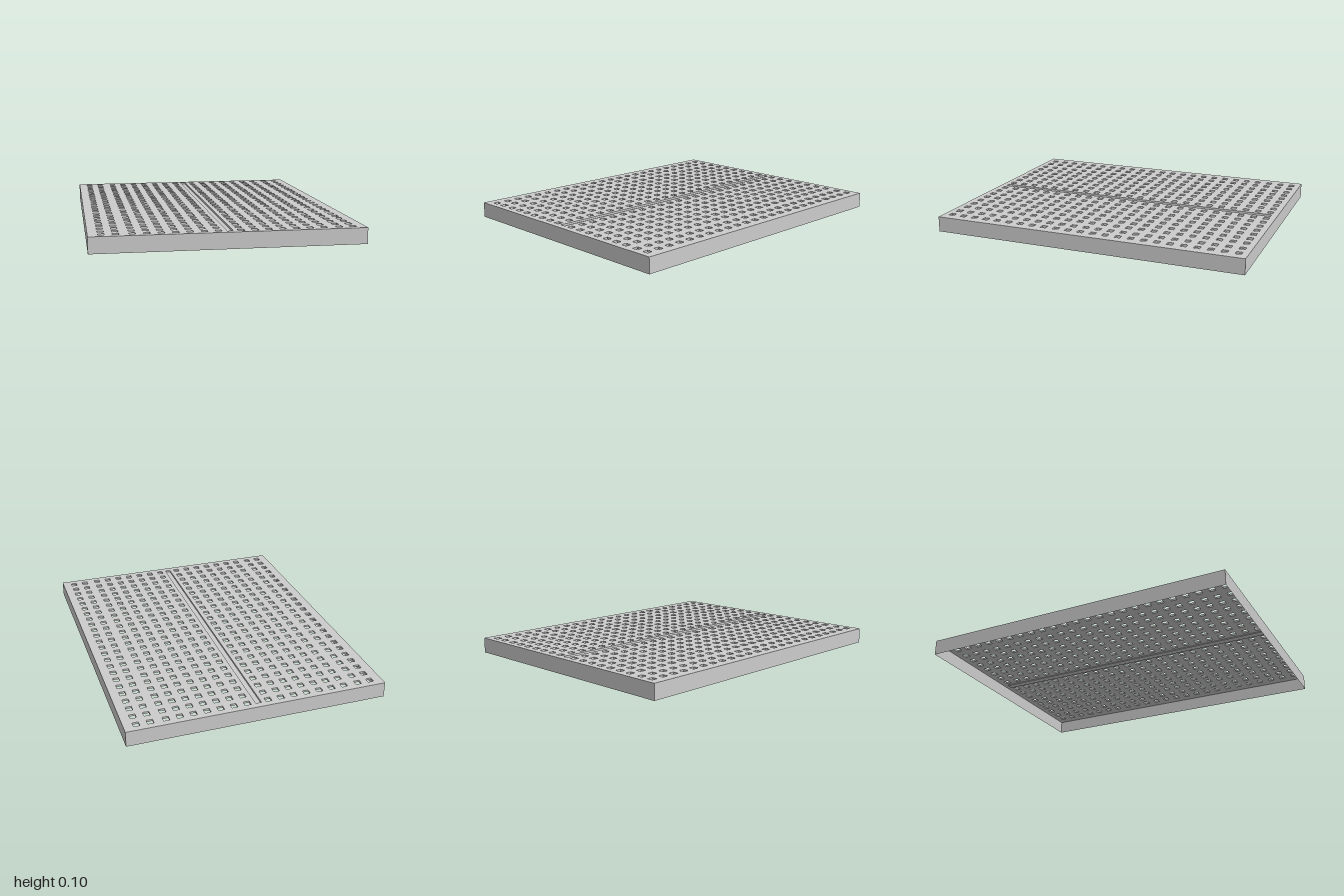
import * as THREE from 'three';

const W = 1.614, D = 2, H = 0.098; // overall size
const T = 0.012;                   // top plate thickness
const PITCH = 0.082, HOLE = 0.037; // socket grid
const ROWS = 24;
const GROOVE_W = 0.036, GROOVE_L = 1.92;

const material = new THREE.MeshStandardMaterial({ color: 0xcccccc, side: THREE.DoubleSide });

function rect(target, cx, cy, w, h) {
  target.moveTo(cx - w / 2, cy - h / 2);
  target.lineTo(cx + w / 2, cy - h / 2);
  target.lineTo(cx + w / 2, cy + h / 2);
  target.lineTo(cx - w / 2, cy + h / 2);
  target.closePath();
  return target;
}

function add(group, name, geometry, x = 0, y = 0, z = 0) {
  const mesh = new THREE.Mesh(geometry, material);
  mesh.name = name;
  mesh.position.set(x, y, z);
  group.add(mesh);
  return mesh;
}

export function createModel() {
  const group = new THREE.Group();
  group.name = 'perforatedBoard';

  // Column offsets on one half: seven terminal columns, then two rail columns
  const columns = [];
  for (let i = 0; i < 7; i++) columns.push(0.065 + i * PITCH);
  columns.push(0.65, 0.732);

  // Top plate with square sockets and the slot for the centre groove
  const plate = rect(new THREE.Shape(), 0, 0, W, D);
  plate.holes.push(rect(new THREE.Path(), 0, 0, GROOVE_W, GROOVE_L));
  for (const side of [-1, 1]) {
    for (const x of columns) {
      for (let r = 0; r < ROWS; r++) {
        const z = (r - (ROWS - 1) / 2) * PITCH;
        plate.holes.push(rect(new THREE.Path(), side * x, z, HOLE, HOLE));
      }
    }
  }
  const plateGeometry = new THREE.ExtrudeGeometry(plate, { depth: T, bevelEnabled: false });
  plateGeometry.rotateX(-Math.PI / 2);
  add(group, 'topPlate', plateGeometry, 0, H - T, 0);

  // Floor closing the centre groove
  add(group, 'grooveFloor', new THREE.BoxGeometry(GROOVE_W + 0.008, 0.006, GROOVE_L + 0.008), 0, H - T - 0.003, 0);

  // Thin side skirts, open underneath
  for (const side of [-1, 1]) {
    const end = add(group, side > 0 ? 'frontWall' : 'backWall',
      new THREE.PlaneGeometry(W, H), 0, H / 2, side * D / 2);
    end.rotation.y = side > 0 ? 0 : Math.PI;
    const wall = add(group, side > 0 ? 'leftWall' : 'rightWall',
      new THREE.PlaneGeometry(D, H), side * W / 2, H / 2, 0);
    wall.rotation.y = side * Math.PI / 2;
  }
  return group;
}
